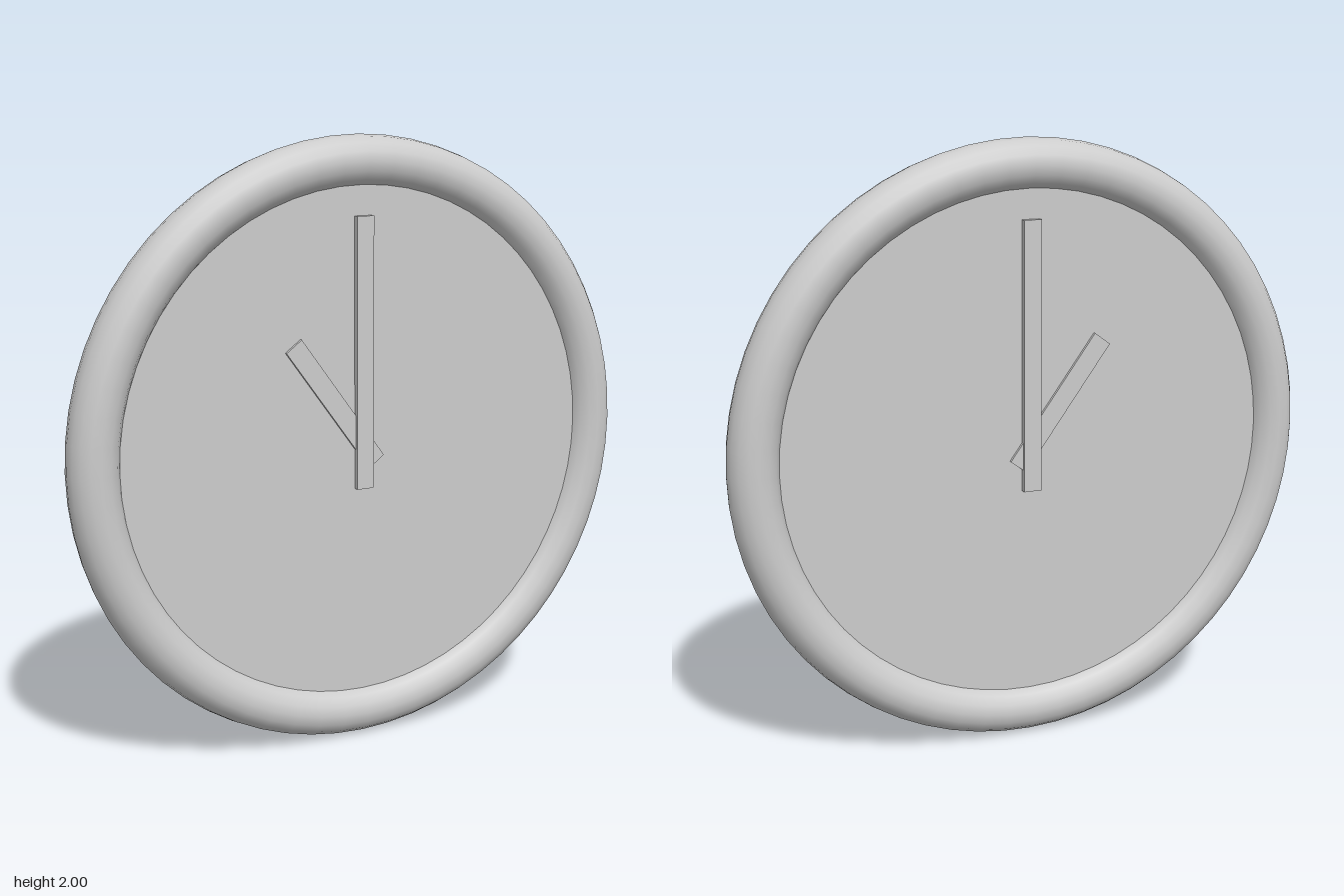
import * as THREE from 'three';

export function createModel() {
  const clock = new THREE.Group();
  clock.name = 'wallClock';
  const material = new THREE.MeshStandardMaterial({ color: 0xcccccc });

  const add = (name, geometry, x, y) => {
    const mesh = new THREE.Mesh(geometry, material);
    mesh.name = name;
    mesh.position.set(x, y, 0);
    clock.add(mesh);
    return mesh;
  };

  // Round tubular rim
  const tube = 0.083;
  add('rim', new THREE.TorusGeometry(1 - tube, tube, 16, 64), 0, 1);

  // Dial disc, its edge buried inside the rim
  const dial = new THREE.CylinderGeometry(0.9, 0.9, 0.07, 64);
  dial.rotateX(Math.PI / 2);
  add('dial', dial, 0, 1);

  // Hands run through the dial and stand proud of both faces
  add('minuteHand', new THREE.BoxGeometry(0.06, 0.89, 0.11), 0, 1.3);
  const hourHand = add('hourHand', new THREE.BoxGeometry(0.067, 0.503, 0.09), -0.103, 1.142);
  hourHand.rotation.z = THREE.MathUtils.degToRad(36.5);

  return clock;
}
